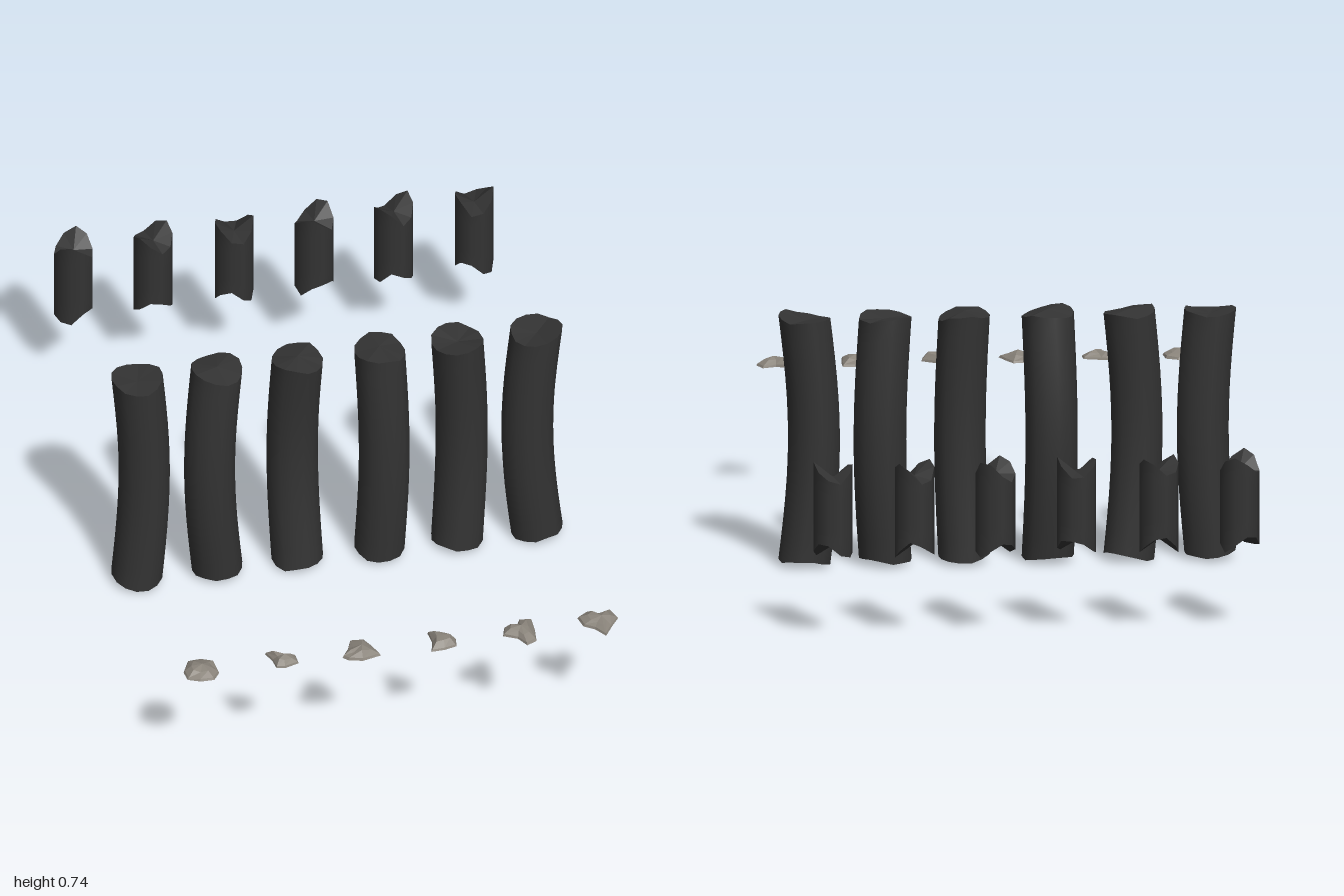
import * as THREE from 'three';
import { mergeGeometries } from 'three/addons/utils/BufferGeometryUtils.js';

function seeded(seed) {
  let s = seed * 7919 + 13;
  return () => (s = (s * 16807) % 2147483647) / 2147483647;
}

function build(positions, indices) {
  const g = new THREE.BufferGeometry();
  g.setAttribute('position', new THREE.Float32BufferAttribute(positions.flat(), 3));
  g.setIndex(indices);
  return g;
}

// Joins a stack of rings with side faces, optionally closed by flat fans
function wall(rings) {
  const n = rings[0].length, idx = [];
  for (let k = 0; k < rings.length - 1; k++) {
    for (let i = 0; i < n; i++) {
      const j = (i + 1) % n;
      const a = k * n + i, b = k * n + j, c = a + n, d = b + n;
      idx.push(a, c, b, b, c, d);
    }
  }
  return build(rings.flat(), idx);
}

function fan(ring, centre, up) {
  const n = ring.length, idx = [];
  for (let i = 0; i < n; i++) {
    const j = (i + 1) % n;
    idx.push(n, ...(up ? [j, i] : [i, j]));
  }
  return build([...ring, centre], idx);
}

function flat(g) {
  const f = g.toNonIndexed();
  f.computeVertexNormals();
  return f;
}

// Bent round length of wood with broken ends; end(angle, side) gives the rim height
function logGeometry({ radius, sides, rows, bend, end, centres, seed }) {
  const rand = seeded(seed);
  const spokes = Array.from({ length: sides }, (_, i) => {
    const a = (i / sides) * Math.PI * 2;
    return { a, r: radius * (0.96 + 0.07 * rand()), low: end(a, 0, rand), high: end(a, 1, rand) };
  });
  const rings = [];
  for (let k = 0; k <= rows; k++) {
    const t = k / rows, s = Math.sin(Math.PI * t);
    rings.push(spokes.map(({ a, r, low, high }) => [
      Math.cos(a) * r + bend[0] * s,
      low + (high - low) * t,
      Math.sin(a) * r + bend[1] * s,
    ]));
  }
  const side = wall(rings);
  side.computeVertexNormals();
  return mergeGeometries([
    side.toNonIndexed(),
    flat(fan(rings[0], [0, centres[0], 0], false)),
    flat(fan(rings[rows], [0, centres[1], 0], true)),
  ]);
}

// Low faceted mound on a flat base
function moundGeometry(outline, seed) {
  const rand = seeded(seed);
  const base = outline.map(([x, z]) => [x / 100, 0.375, z / 100]);
  const rim = base.map(([x, , z]) => [x * 0.93, 0.38 + 0.004 * rand(), z * 0.93]);
  const crown = base.map(([x, , z]) => [x * 0.55, 0.389 + 0.01 * rand(), z * 0.55]);
  return mergeGeometries([
    flat(wall([base, rim, crown])),
    flat(fan(base, [0, 0.375, 0], false)),
    flat(fan(crown, [0.005, 0.4, 0], true)),
  ]);
}

export function createModel() {
  const model = new THREE.Group();
  const charcoal = new THREE.MeshStandardMaterial({ color: 0x333333 });
  charcoal.name = 'charred wood';
  const ash = new THREE.MeshStandardMaterial({ color: 0x8a847b });
  ash.name = 'ash grey';

  const add = (name, geometry, material, x, z) => {
    const mesh = new THREE.Mesh(geometry, material);
    mesh.name = name;
    mesh.position.set(x, 0, z);
    model.add(mesh);
  };

  // Long logs: x, bend in x and z, slope of the top and bottom rims, cap rise
  const logs = [
    [-0.585, 0.022, -0.005, 0.0, -0.005, -0.01],
    [-0.353, -0.024, 0.015, -0.006, 0.007, 0.008],
    [-0.118, -0.008, -0.034, -0.006, 0.0, 0.012],
    [0.121, 0.011, 0.012, -0.005, -0.003, 0.012],
    [0.349, 0.017, -0.02, 0.0, 0.0, -0.006],
    [0.58, -0.028, 0.004, 0.006, 0.008, -0.008],
  ];
  logs.forEach(([x, bx, bz, topSlope, lowSlope, rise], i) => {
    add(`log${i + 1}`, logGeometry({
      radius: 0.076, sides: 14, rows: 12, bend: [bx, bz], seed: i + 1,
      centres: [0.02, 0.725 + rise],
      end: (a, top, rand) => top
        ? 0.726 + topSlope * Math.cos(a) + 0.007 * Math.cos(2 * a + i) + 0.006 * (rand() - 0.5)
        : 0.016 + lowSlope * Math.cos(a) + 0.006 * Math.cos(2 * a + i * 2) + 0.006 * (rand() - 0.5),
    }), charcoal, x, 0);
  });

  // Short splintered chunks with notched ends
  const chunkX = [-0.585, -0.353, -0.117, 0.117, 0.349, 0.583];
  const phases = [2.4, 1.2, 0.3, 2.0, 1.0, 0];
  chunkX.forEach((x, i) => {
    add(`chunk${i + 1}`, logGeometry({
      radius: 0.057, sides: 10, rows: 4, bend: [0, 0], seed: i + 20,
      centres: [0.275, 0.475],
      end: (a, top, rand) => top
        ? 0.49 + 0.027 * Math.cos(2 * a + phases[i]) + 0.016 * (rand() - 0.5)
        : 0.262 + 0.024 * Math.cos(2 * a + phases[i] + 2) + 0.016 * (rand() - 0.5),
    }), charcoal, x, -0.942);
  });

  // Ash mounds: centre x and outline in hundredths
  const mounds = [
    [-0.585, [[-5, 0], [-3, -4.5], [1, -5], [4.5, -3], [5, 2], [3, 5], [-1, 5], [-4.5, 3.5]]],
    [-0.345, [[-4.5, -4], [-1, -3], [4, -1.5], [4.2, 2], [0, 3.5], [-2.5, 3], [-3, -0.5]]],
    [-0.12, [[-5.5, 2], [-3.5, -1], [-2, -5], [2, -5], [4, -1], [5.5, 3], [0, 4.5], [-4, 3.5]]],
    [0.12, [[-3.5, -4.5], [0, -3], [4, 0], [3.5, 3], [0, 4], [-4, 4.2], [-3, 0]]],
    [0.345, [[-5, 1], [-4, -2.5], [0, -3], [1, -5.5], [4.5, -5], [4.5, 0], [4, 5], [1, 6.5], [-1, 3]]],
    [0.58, [[-6, -3], [-3, -5], [0, -3.5], [4, -5], [5.5, -1], [3, 2.5], [0.5, 6.5], [-2, 3], [-5, 1]]],
  ];
  mounds.forEach(([x, outline], i) => {
    add(`ashMound${i + 1}`, moundGeometry(outline, i + 40), ash, x, 0.932);
  });

  return model;
}
